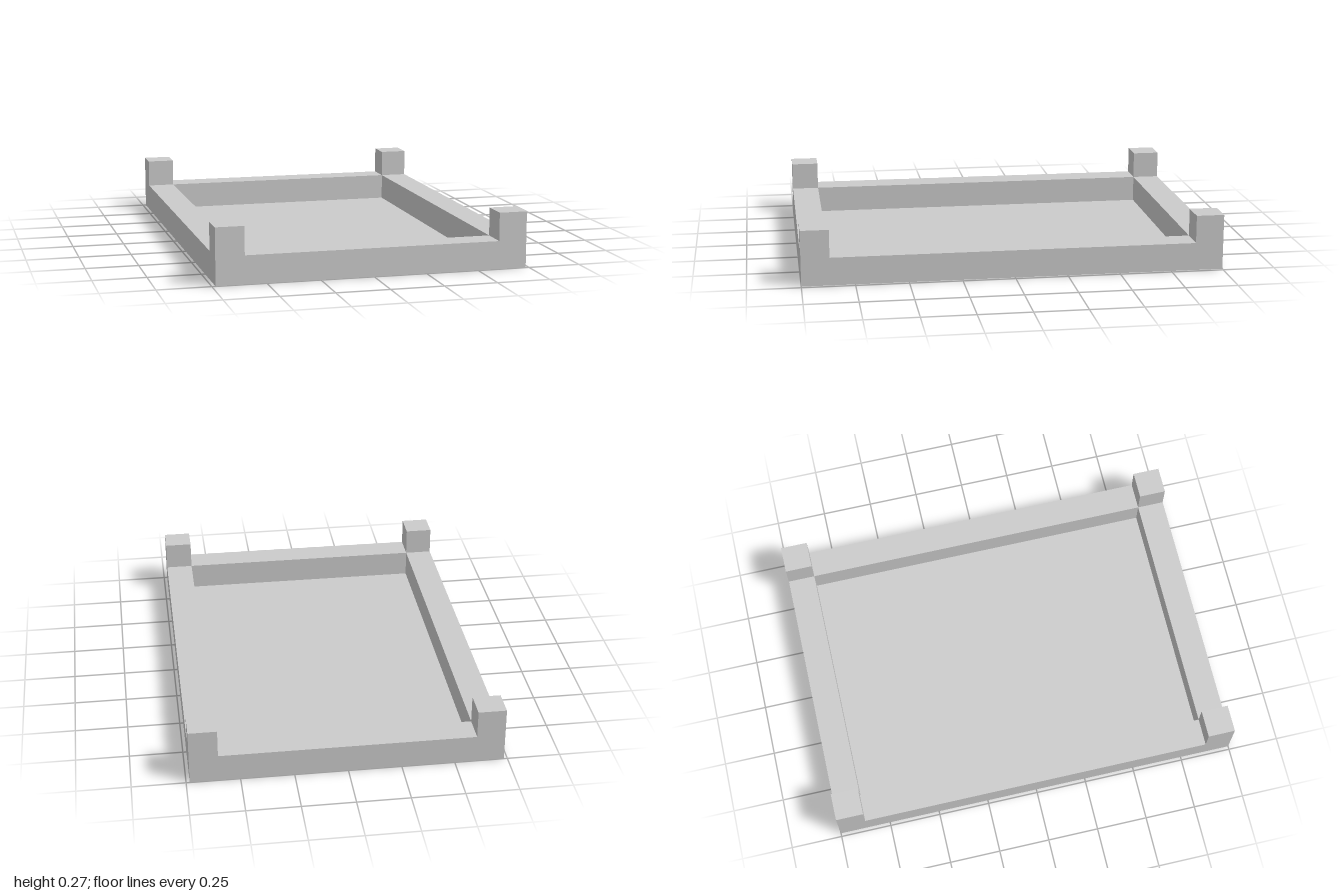
import * as THREE from 'three';

const U = 2 / 15; // thickness of the rim and posts
const W = 11 * U, L = 15 * U, FLOOR = 0.003;

function rectangle(PathType, w, l) {
  return new PathType().moveTo(-w / 2, -l / 2).lineTo(w / 2, -l / 2)
    .lineTo(w / 2, l / 2).lineTo(-w / 2, l / 2).closePath();
}

export function createModel() {
  const group = new THREE.Group();
  const material = new THREE.MeshStandardMaterial({ color: 0xcccccc, flatShading: true });
  const add = (name, geometry, x, y, z) => {
    const mesh = new THREE.Mesh(geometry, material);
    mesh.name = name;
    mesh.position.set(x, y, z);
    group.add(mesh);
  };

  // Thin floor sheet closing the tray from below
  add('floor', new THREE.BoxGeometry(W, FLOOR, L), 0, FLOOR / 2, 0);

  // Rim: a rectangular frame standing on the floor
  const outline = rectangle(THREE.Shape, W, L);
  outline.holes.push(rectangle(THREE.Path, W - 2 * U, L - 2 * U));
  const rim = new THREE.ExtrudeGeometry(outline, { depth: U - FLOOR, bevelEnabled: false });
  rim.rotateX(-Math.PI / 2);
  add('rim', rim, 0, FLOOR, 0);

  // Corner posts rising above the rim
  const post = new THREE.BoxGeometry(U, U, U);
  for (const [sx, side] of [[1, 'Left'], [-1, 'Right']]) {
    for (const [sz, end] of [[1, 'front'], [-1, 'back']]) {
      add(`${end}${side}Post`, post, sx * (W - U) / 2, U * 1.5, sz * (L - U) / 2);
    }
  }
  return group;
}
